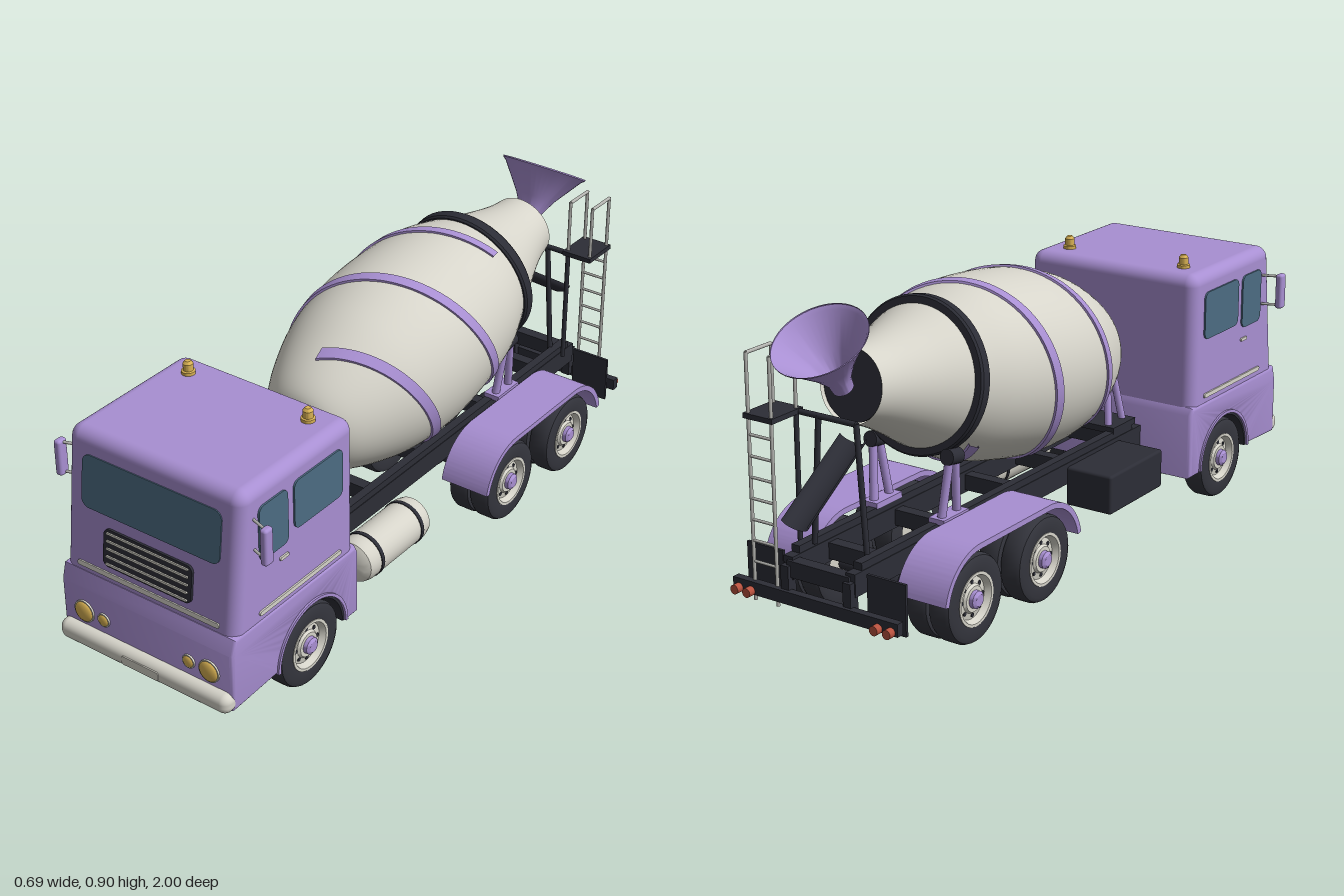
import * as THREE from 'three';
import { toCreasedNormals } from 'three/addons/utils/BufferGeometryUtils.js';
import { RoundedBoxGeometry } from 'three/addons/geometries/RoundedBoxGeometry.js';

const paint = (name, color, side = THREE.FrontSide) => new THREE.MeshStandardMaterial({ name, color, side });
const V = (x, y, z) => new THREE.Vector3(x, y, z);

export function createModel() {
  const root = new THREE.Group();
  root.name = 'mixerTruck';
  const lilac = paint('lilac', 0xa88fd2, THREE.DoubleSide);
  const cream = paint('cream', 0xd6d4ca, THREE.DoubleSide);
  const dark = paint('chassisDark', 0x2c2d36, THREE.DoubleSide);
  const rubber = paint('rubber', 0x34353d);
  const glass = paint('glass', 0x4c6c82);
  const amber = paint('amber', 0xd9b254);
  const red = paint('red', 0xb8523f);
  const steel = paint('steel', 0xb4b4b0);

  const add = (name, geo, mat, x = 0, y = 0, z = 0, parent = root) => {
    const m = new THREE.Mesh(geo, mat);
    m.name = name;
    m.position.set(x, y, z);
    parent.add(m);
    return m;
  };
  const box = (name, mat, w, h, d, x, y, z, r = 0) =>
    add(name, r ? new RoundedBoxGeometry(w, h, d, 4, r) : new THREE.BoxGeometry(w, h, d), mat, x, y, z);
  const rod = (name, mat, a, b, r) => {
    const d = b.clone().sub(a);
    const m = add(name, new THREE.CylinderGeometry(r, r, d.length(), 12), mat);
    m.position.copy(a).addScaledVector(d, 0.5);
    m.quaternion.setFromUnitVectors(V(0, 1, 0), d.normalize());
    return m;
  };
  // Thin rounded plate facing +z
  const plate = (w, h, r, t = 0.008) => {
    const s = new THREE.Shape(), x = w / 2 - r, y = h / 2 - r;
    s.absarc(x, y, r, 0, Math.PI / 2);
    s.absarc(-x, y, r, Math.PI / 2, Math.PI);
    s.absarc(-x, -y, r, Math.PI, Math.PI * 1.5);
    s.absarc(x, -y, r, Math.PI * 1.5, Math.PI * 2);
    return new THREE.ExtrudeGeometry(s, { depth: t, bevelEnabled: false, curveSegments: 6 });
  };
  // Side profile drawn in (z, y), extruded across x
  const across = (shape, w, bevel = 0) => {
    const g = new THREE.ExtrudeGeometry(shape, {
      depth: w - 2 * bevel, bevelEnabled: bevel > 0, bevelSize: bevel, bevelThickness: bevel,
      bevelOffset: -bevel, bevelSegments: 4, curveSegments: 24 });
    g.translate(0, 0, -(w - 2 * bevel) / 2);
    g.rotateY(-Math.PI / 2);
    return toCreasedNormals(g, 0.6);
  };
  const lathe = (pts, seg = 32) =>
    toCreasedNormals(new THREE.LatheGeometry(pts.map(p => new THREE.Vector2(...p)), seg), 0.6);
  const arch = (z, r0, r1) => {
    const s = new THREE.Shape();
    s.absarc(z, 0.123, r1, 0, Math.PI, false);
    s.absarc(z, 0.123, r0, Math.PI, 0, true);
    return s;
  };
  const FW = 0.647, RW = [-0.31, -0.626], SIDES = [1, -1];

  // Cab: sloped upper shell
  const upper = new RoundedBoxGeometry(0.566, 0.43, 0.5, 6, 0.035);
  const p = upper.attributes.position;
  for (let i = 0; i < p.count; i++)
    p.setZ(i, p.getZ(i) - 0.125 * (p.getY(i) + 0.183) * (p.getZ(i) + 0.25) / 0.5);
  add('upperCab', upper, lilac, 0, 0.512, 0.704);
  // Cab: lower body with wheel arches
  const body = new THREE.Shape();
  body.moveTo(0.445, 0.115);
  body.lineTo(FW - 0.14, 0.115);
  body.absarc(FW, 0.123, 0.14, Math.PI, 0, true);
  body.lineTo(0.968, 0.115);
  body.lineTo(0.968, 0.285);
  body.lineTo(0.955, 0.332);
  body.lineTo(0.455, 0.332);
  body.lineTo(0.445, 0.31);
  add('lowerCab', across(body, 0.574, 0.012), lilac);
  add('wheelWell', across(arch(FW, 0.132, 0.142), 0.57), dark);
  add('underCab', across(arch(FW, 0.001, 0.136), 0.39), dark);
  box('cabFloor', dark, 0.4, 0.02, 0.46, 0, 0.118, 0.69);
  for (const s of SIDES) add('archFlare', across(arch(FW, 0.139, 0.148), 0.012), lilac, s * 0.286);

  // Front face: windshield, grille and trim follow the slope
  const onFront = (name, geo, mat, y, lift = 0) => {
    const m = add(name, geo, mat, 0, y, 0.952 - 0.125 * (y - 0.33) - 0.003 + lift);
    m.rotation.x = -0.124;
    return m;
  };
  onFront('windshield', plate(0.454, 0.15, 0.025), glass, 0.592);
  onFront('grille', plate(0.292, 0.108, 0.018, 0.012), dark, 0.431);
  for (let i = 0; i < 5; i++) onFront('grilleBar', plate(0.27, 0.006, 0.0029, 0.006), cream, 0.387 + i * 0.022, 0.01);
  onFront('frontTrim', plate(0.47, 0.014, 0.006, 0.009), cream, 0.351);
  box('bumper', cream, 0.57, 0.058, 0.066, 0, 0.14, 0.965, 0.024);
  add('bumperPlate', plate(0.124, 0.026, 0.007, 0.004), cream, 0, 0.14, 0.996);

  for (const s of SIDES) {
    // Lamps
    for (const [x, r] of [[0.21, 0.03], [0.143, 0.017]]) {
      add('lampRim', new THREE.CylinderGeometry(r + 0.003, r + 0.003, 0.012, 28).rotateX(Math.PI / 2), cream, s * x, 0.212, 0.967);
      add('headlamp', new THREE.SphereGeometry(r, 24, 12).scale(1, 1, 0.35), amber, s * x, 0.212, 0.972);
    }
    // Roof beacon
    add('beacon', lathe([[0.019, 0], [0.019, 0.012], [0.014, 0.014], [0.014, 0.033], [0.008, 0.041], [0, 0.043]], 20), amber, s * 0.197, 0.724, 0.535);
    // Door windows, trim and handle
    for (const [name, mat, w, h, r, y, z] of [
      ['frontDoorWindow', glass, 0.113, 0.16, 0.02, 0.587, 0.792], ['rearDoorWindow', glass, 0.198, 0.142, 0.02, 0.597, 0.611],
      ['sideTrim', cream, 0.335, 0.013, 0.006, 0.352, 0.688], ['doorHandle', cream, 0.035, 0.01, 0.004, 0.47, 0.753]])
      add(name, plate(w, h, r), mat, s * 0.28, y, z).rotation.y = s * Math.PI / 2;
    // Mirror
    box('mirror', lilac, 0.022, 0.106, 0.032, s * 0.336, 0.597, 0.882, 0.008);
    for (const y of [0.553, 0.642]) rod('mirrorArm', steel, V(s * 0.27, y, 0.86), V(s * 0.335, y, 0.882), 0.004);
  }

  // Wheels
  const tyre = lathe([[0.07, -0.032], [0.105, -0.035], [0.117, -0.03], [0.122, -0.02], [0.122, 0.02], [0.117, 0.03], [0.105, 0.035], [0.074, 0.032], [0.07, 0.02]], 40);
  const rim = lathe([[0, -0.02], [0.073, -0.02], [0.074, 0.034], [0.066, 0.034], [0.058, 0.016], [0.04, 0.02], [0.035, 0.027], [0, 0.027]], 32);
  const hub = lathe([[0.026, 0], [0.024, 0.038], [0.016, 0.044], [0, 0.044]], 20);
  const wheel = (name, s, x, z) => {
    const g = new THREE.Group();
    g.name = name;
    add('tyre', tyre, rubber, 0, 0, 0, g);
    add('rim', rim, cream, 0, 0, 0, g);
    add('hub', hub, lilac, 0, 0, 0, g);
    for (let i = 0; i < 8; i++) {
      const a = i * Math.PI / 4;
      add('rimHole', new THREE.CylinderGeometry(0.006, 0.006, 0.01, 10), dark, 0.046 * Math.cos(a), 0.0155, 0.046 * Math.sin(a), g);
    }
    g.rotation.z = -s * Math.PI / 2;
    g.position.set(s * x, 0.122, z);
    root.add(g);
  };
  for (const s of SIDES) {
    wheel('frontWheel', s, 0.247, FW);
    for (const z of RW) { wheel('rearOuterWheel', s, 0.247, z); wheel('rearInnerWheel', s, 0.176, z); }
  }
  for (const z of [FW, ...RW]) rod('axle', dark, V(-0.22, 0.122, z), V(0.22, 0.122, z), 0.018);
  for (const z of RW) add('differential', new THREE.SphereGeometry(0.046, 20, 14), dark, 0, 0.123, z);
  rod('driveShaft', dark, V(0, 0.16, 0.5), V(0, 0.125, -0.62), 0.014);

  // Chassis
  for (const s of SIDES) {
    box('frameRail', dark, 0.03, 0.062, 1.4, s * 0.1, 0.22, -0.21);
    box('subFrame', dark, 0.026, 0.02, 1.28, s * 0.1, 0.261, -0.24);
    box('mudFlap', dark, 0.12, 0.14, 0.008, s * 0.195, 0.18, -0.885);
    for (const x of [0.245, 0.205]) {
      add('tailLamp', new THREE.CylinderGeometry(0.013, 0.013, 0.02, 16).rotateX(Math.PI / 2), red, s * x, 0.14, -0.947);
    }
    // Rear mudguard over both axles
    const guard = new THREE.Shape(), [a, b] = RW, h = Math.PI / 2;
    guard.absarc(a, 0.125, 0.156, 0.2, h, false);
    guard.absarc(b, 0.125, 0.156, h, Math.PI - 0.2, false);
    guard.absarc(b, 0.125, 0.14, Math.PI - 0.2, h, true);
    guard.absarc(a, 0.125, 0.14, h, 0.2, true);
    add('rearMudguard', across(guard, 0.155), lilac, s * 0.2175);
  }
  for (const z of [0.38, 0.1, -0.15, -0.47, -0.75, -0.9]) box('crossMember', dark, 0.2, 0.045, 0.035, 0, 0.22, z);
  box('rearBar', dark, 0.53, 0.035, 0.022, 0, 0.148, -0.926);
  for (const s of SIDES) box('rearBarBracket', dark, 0.025, 0.09, 0.03, s * 0.1, 0.185, -0.912);
  box('toolBox', dark, 0.15, 0.115, 0.28, -0.185, 0.182, 0.19, 0.008);
  // Side tank with straps
  const tank = lathe([[0, -0.15], [0.045, -0.148], [0.06, -0.138], [0.065, -0.12], [0.065, 0.12], [0.06, 0.138], [0.045, 0.148], [0, 0.15]]);
  add('sideTank', tank.rotateX(Math.PI / 2), cream, 0.19, 0.17, 0.2);
  for (const z of [0.105, 0.29]) add('tankStrap', new THREE.CylinderGeometry(0.0675, 0.0675, 0.012, 32).rotateX(Math.PI / 2), dark, 0.19, 0.17, z);

  // Drum on a tilted axis: local y runs along the axis, local z points up
  const drum = new THREE.Group(), tilt = 0.166;
  drum.name = 'drum';
  drum.position.set(0, 0.5, 0.32);
  drum.rotation.x = tilt - Math.PI / 2;
  root.add(drum);
  const prof = new THREE.SplineCurve([[0, 0], [0.09, 0.004], [0.147, 0.045], [0.203, 0.15], [0.245, 0.28], [0.262, 0.45],
    [0.243, 0.67], [0.197, 0.81], [0.148, 0.93], [0.113, 1.03], [0.098, 1.1]].map(q => new THREE.Vector2(...q))).getPoints(70);
  const radius = t => {
    const i = Math.max(1, prof.findIndex(q => q.y >= t)), a = prof[i - 1], b = prof[i];
    return a.x + (b.x - a.x) * (t - a.y) / (b.y - a.y);
  };
  add('drumShell', new THREE.LatheGeometry(prof, 64), cream, 0, 0, 0, drum);
  add('drumMouth', new THREE.CylinderGeometry(0.094, 0.094, 0.01, 32), dark, 0, 1.085, 0, drum);
  add('drumRing', lathe([[0.18, -0.019], [0.208, -0.019], [0.213, -0.013], [0.213, 0.013], [0.208, 0.019], [0.17, 0.019]], 64), dark, 0, 0.812, 0, drum);
  add('driveMotor', lathe([[0, -0.075], [0.05, -0.075], [0.062, -0.062], [0.062, -0.015], [0.05, 0.005], [0, 0.005]], 28), dark, 0, 0, 0, drum);
  // Two spiral bands around the drum
  for (const start of [0, Math.PI]) {
    const pos = [], idx = [], N = 110, sect = [[-0.017, -0.003], [-0.016, 0.006], [0.016, 0.006], [0.017, -0.003]];
    for (let i = 0; i <= N; i++) {
      const t = 0.12 + 0.63 * i / N, a = start + (t - 0.12) / 0.565 * Math.PI * 2;
      for (const [dt, dr] of sect) {
        const r = radius(t + dt) + dr;
        pos.push(r * Math.sin(a), t + dt, r * Math.cos(a));
      }
      if (i < N) for (let j = 0; j < 3; j++) {
        const k = i * 4 + j;
        idx.push(k, k + 4, k + 1, k + 4, k + 5, k + 1);
      }
    }
    const g = new THREE.BufferGeometry();
    g.setAttribute('position', new THREE.Float32BufferAttribute(pos, 3));
    g.setIndex(idx);
    add('spiralBand', toCreasedNormals(g, 0.6), lilac, 0, 0, 0, drum);
  }
  // Drum stands
  for (const s of SIDES) {
    for (const d of SIDES) {
      rod('frontStandLeg', lilac, V(s * 0.085, 0.265, 0.355 + d * 0.04), V(s * 0.055, 0.45, 0.36 + d * 0.012), 0.011);
      rod('rearStandLeg', lilac, V(s * 0.11, 0.265, -0.51 + d * 0.035), V(s * 0.125, 0.445, -0.512 + d * 0.012), 0.012);
    }
    const roller = add('roller', new THREE.CylinderGeometry(0.022, 0.022, 0.05, 18), dark, s * 0.125, 0.445, -0.512);
    roller.rotation.x = tilt - Math.PI / 2;
    box('rearStandFoot', lilac, 0.05, 0.016, 0.11, s * 0.11, 0.276, -0.51);
  }
  box('frontStandFoot', dark, 0.23, 0.018, 0.12, 0, 0.275, 0.355);
  box('frontStandSaddle', lilac, 0.13, 0.018, 0.05, 0, 0.435, 0.36);

  // Loading hopper, chute and posts
  add('hopper', lathe([[0.028, 0], [0.032, 0.03], [0.06, 0.08], [0.118, 0.158], [0.128, 0.166], [0.128, 0.17]], 40), lilac, 0, 0.684, -0.795).rotation.x = -0.53;
  const chute = add('chute', new THREE.CylinderGeometry(0.042, 0.042, 0.285, 18, 1, true, -Math.PI / 2, Math.PI).scale(1, 1, 0.7), dark, 0, 0.47, -0.88);
  chute.rotation.x = 0.983;
  for (const s of SIDES) rod('hopperPost', dark, V(s * 0.085, 0.26, -0.822), V(s * 0.06, 0.61, -0.822), 0.008);
  rod('hopperCrossBar', dark, V(-0.06, 0.608, -0.822), V(0.13, 0.608, -0.822), 0.008);

  // Ladder with platform and handrails
  for (const x of [0.13, 0.205]) {
    rod('ladderRail', steel, V(x, 0.11, -0.92), V(x, 0.775, -0.92), 0.005);
    rod('handrailPost', steel, V(x, 0.61, -0.825), V(x, 0.775, -0.825), 0.005);
    rod('handrailTop', steel, V(x, 0.773, -0.92), V(x, 0.773, -0.825), 0.005);
  }
  for (let i = 0; i < 8; i++) rod('ladderRung', steel, V(0.13, 0.16 + i * 0.057, -0.92), V(0.205, 0.16 + i * 0.057, -0.92), 0.004);
  rod('platformPost', dark, V(0.13, 0.25, -0.825), V(0.13, 0.61, -0.825), 0.007);
  box('platform', dark, 0.095, 0.014, 0.12, 0.167, 0.61, -0.87);
  return root;
}
